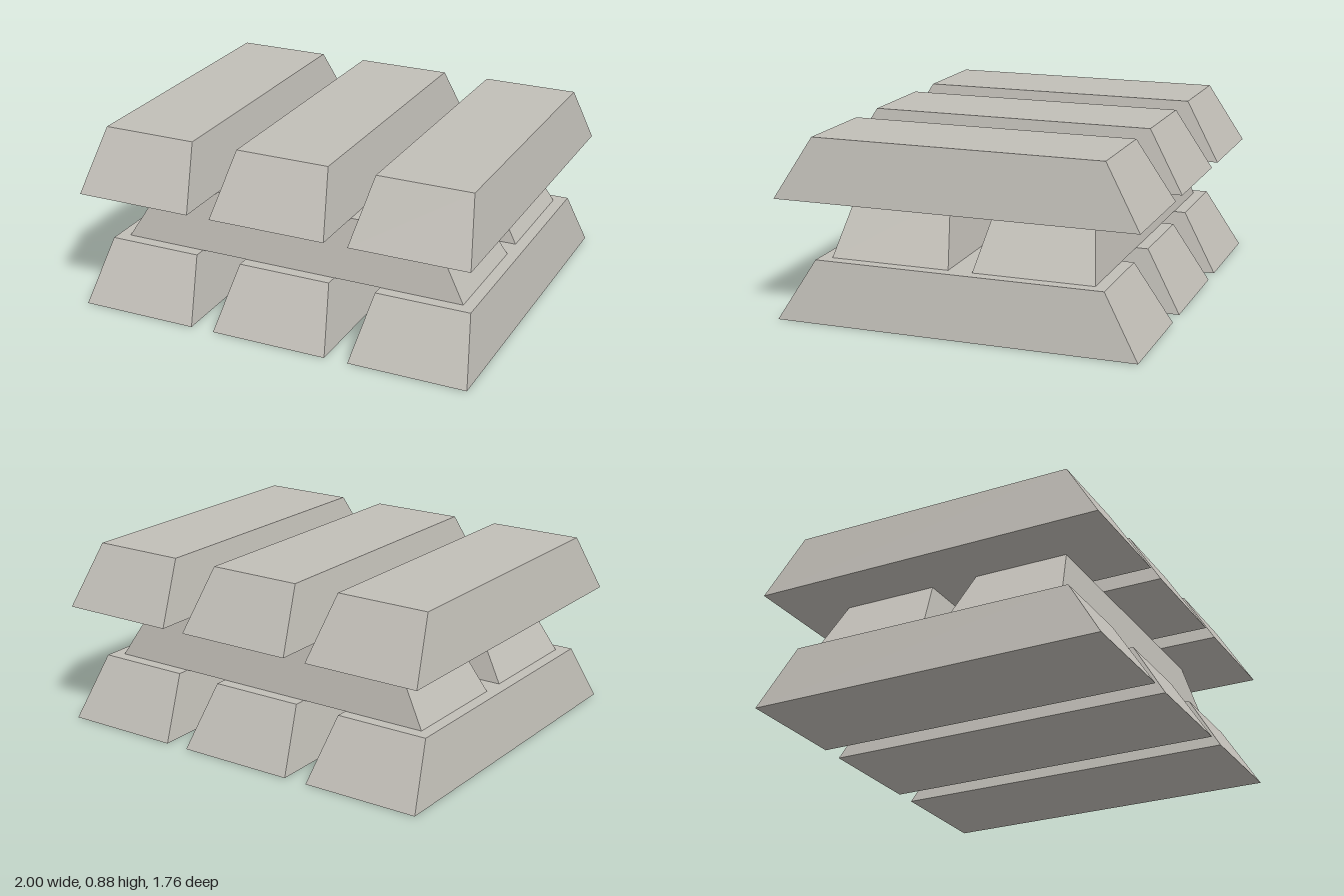
import * as THREE from 'three';

const WIDTH = 0.588, LENGTH = 1.765, HEIGHT = 0.294;
const TOP_SCALE = 0.8; // the top face is smaller than the base

// Box standing on y = 0 with its top corners drawn inwards
function ingotGeometry() {
  const geometry = new THREE.BoxGeometry(WIDTH, HEIGHT, LENGTH);
  geometry.translate(0, HEIGHT / 2, 0);
  const p = geometry.attributes.position;
  for (let i = 0; i < p.count; i++) {
    if (p.getY(i) > HEIGHT / 2) {
      p.setX(i, p.getX(i) * TOP_SCALE);
      p.setZ(i, p.getZ(i) * TOP_SCALE);
    }
  }
  geometry.computeVertexNormals();
  return geometry;
}

export function createModel() {
  const model = new THREE.Group();
  model.name = 'ingotStack';
  const metal = new THREE.MeshStandardMaterial({ color: 0xc1beb7 });
  metal.name = 'pale grey metal';
  metal.flatShading = true;
  const geometry = ingotGeometry();

  // Layers from bottom to top; the middle one lies crosswise
  const layers = [
    { name: 'bottomIngot', offsets: [-0.706, 0, 0.706], crosswise: false },
    { name: 'middleIngot', offsets: [-0.353, 0.353], crosswise: true },
    { name: 'topIngot', offsets: [-0.706, 0, 0.706], crosswise: false },
  ];
  layers.forEach(({ name, offsets, crosswise }, level) => {
    offsets.forEach((offset, i) => {
      const ingot = new THREE.Mesh(geometry, metal);
      ingot.name = name + (i + 1);
      ingot.position.set(crosswise ? 0 : offset, level * HEIGHT, crosswise ? offset : 0);
      if (crosswise) ingot.rotation.y = Math.PI / 2;
      model.add(ingot);
    });
  });
  return model;
}
